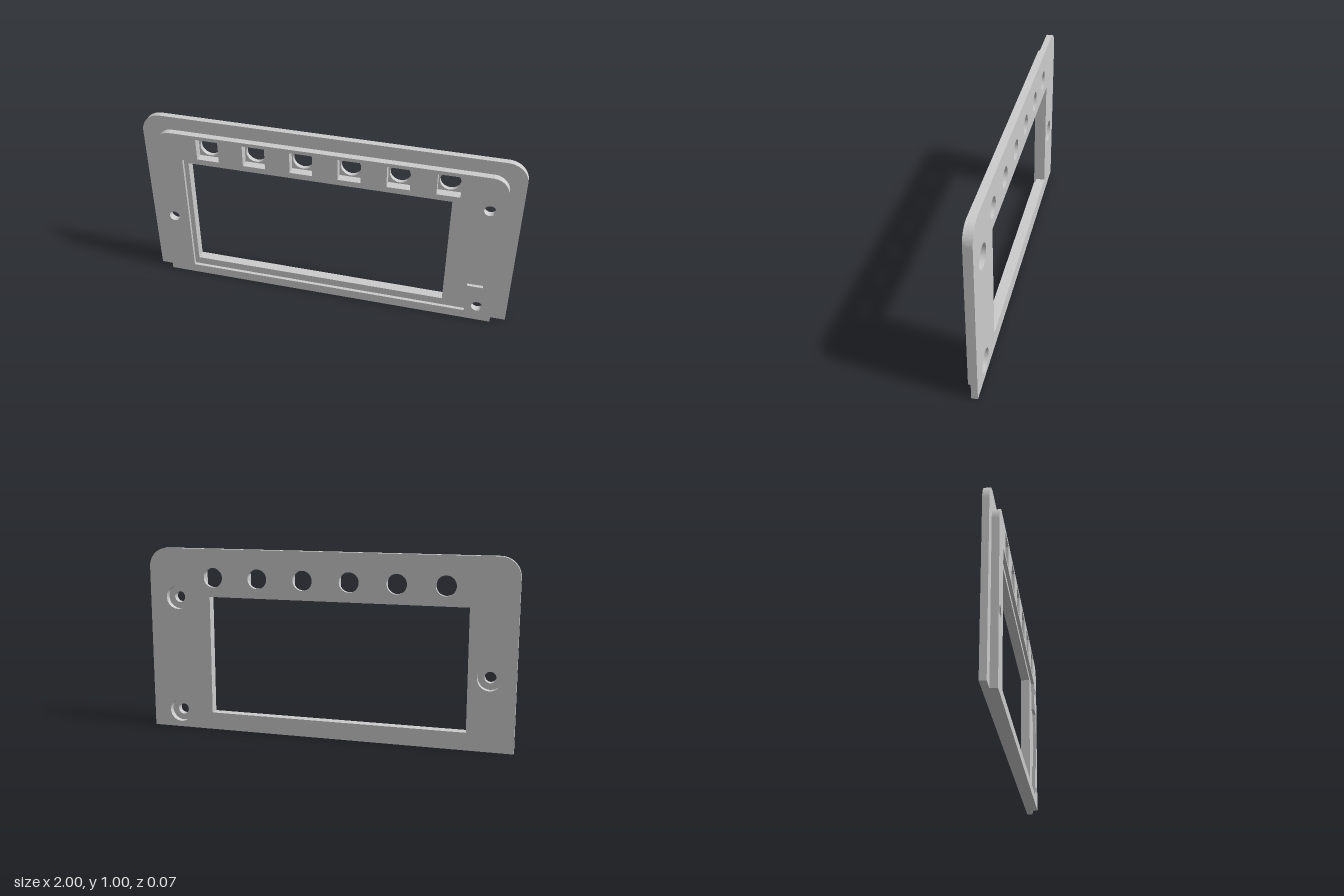
import * as THREE from 'three';
import { toCreasedNormals } from 'three/addons/utils/BufferGeometryUtils.js';

const material = new THREE.MeshStandardMaterial({ color: 0xcccccc });

// Depths of the stepped surfaces, back to front
const BACK = -0.033, POCKET = -0.01, STEP = 0, RECESS = 0.018, FRONT = 0.036;

const polygon = (pts) => new THREE.Shape(pts.map(([x, y]) => new THREE.Vector2(x, y)));
const rect = (x0, y0, x1, y1) => polygon([[x0, y0], [x1, y0], [x1, y1], [x0, y1]]);
const circle = (x, y, r) => new THREE.Shape().absarc(x, y, r, 0, Math.PI * 2, false);

// Panel outline: square at the bottom, rounded at the top corners
function outline(w, h, r) {
  const s = new THREE.Shape();
  s.moveTo(-w, 0);
  s.lineTo(w, 0);
  s.lineTo(w, h - r);
  s.absarc(w - r, h - r, r, 0, Math.PI / 2, false);
  s.lineTo(-w + r, h);
  s.absarc(-w + r, h - r, r, Math.PI / 2, Math.PI, false);
  return s;
}

function loopPoints(shape) {
  const pts = shape.getPoints(20).filter((p, i, all) => i === 0 || p.distanceTo(all[i - 1]) > 1e-5);
  if (pts[0].distanceTo(pts[pts.length - 1]) < 1e-5) pts.pop();
  return THREE.ShapeUtils.isClockWise(pts) ? pts.reverse() : pts;
}

// Flat surface at depth z, facing the front or the back
function face(group, name, shape, holes, z, toBack = false) {
  const s = new THREE.Shape(loopPoints(shape));
  s.holes = holes.map((h) => new THREE.Path(loopPoints(h)));
  const geo = new THREE.ShapeGeometry(s);
  if (toBack) {
    const idx = geo.index.array;
    for (let i = 0; i < idx.length; i += 3) [idx[i], idx[i + 1]] = [idx[i + 1], idx[i]];
    geo.computeVertexNormals();
  }
  geo.translate(0, 0, z);
  const mesh = new THREE.Mesh(geo, material);
  mesh.name = name;
  group.add(mesh);
}

// Side wall following a loop; openings face inward
function wall(group, name, shape, z0, z1, opening = true) {
  const pts = loopPoints(shape);
  if (opening) pts.reverse();
  const pos = [];
  pts.forEach((a, i) => {
    const b = pts[(i + 1) % pts.length];
    pos.push(a.x, a.y, z0, b.x, b.y, z0, b.x, b.y, z1);
    pos.push(a.x, a.y, z0, b.x, b.y, z1, a.x, a.y, z1);
  });
  const geo = new THREE.BufferGeometry();
  geo.setAttribute('position', new THREE.Float32BufferAttribute(pos, 3));
  const mesh = new THREE.Mesh(toCreasedNormals(geo, 0.6), material);
  mesh.name = name;
  group.add(mesh);
}

function addPart(parent, name) {
  const g = new THREE.Group();
  g.name = name;
  parent.add(g);
  return g;
}

export function createModel() {
  const model = new THREE.Group();
  model.name = 'facePlate';

  const outer = outline(1, 1.005, 0.105);
  const inner = outline(0.92, 0.93, 0.085);
  const window_ = rect(-0.755, 0.095, 0.65, 0.745);
  // Display seat with a connector notch on one side
  const seat = polygon([[-0.78, 0.052], [0.775, 0.052], [0.775, 0.23], [0.86, 0.23],
    [0.86, 0.6], [0.775, 0.6], [0.775, 0.773], [-0.78, 0.773]]);

  const buttons = [0, 1, 2, 3, 4, 5].map((i) => {
    const x = -0.634 + i * 0.2525, y = 0.85;
    return { hole: circle(x, y, 0.053), pocket: rect(x - 0.06, y - 0.06, x + 0.06, y + 0.06) };
  });
  const screws = [[0.841, 0.735], [0.841, 0.095], [-0.866, 0.386]].map(([x, y]) => (
    { hole: circle(x, y, 0.03), bore: circle(x, y, 0.064) }));

  // Wide back flange
  const flange = addPart(model, 'backFlange');
  face(flange, 'backFace', outer,
    [window_, ...buttons.map((b) => b.hole), ...screws.map((s) => s.bore)], BACK, true);
  wall(flange, 'flangeEdge', outer, BACK, STEP, false);
  // Exposed step: outer outline with the inner one cut out, open at the bottom
  const ledge = new THREE.Shape([...rotateLoop(outer), ...rotateLoop(inner).reverse()]);
  face(flange, 'flangeStep', ledge, [], STEP);

  // Narrower raised front
  const raised = addPart(model, 'raisedFront');
  face(raised, 'frontFace', inner,
    [seat, ...buttons.map((b) => b.pocket), ...screws.map((s) => s.hole)], FRONT);
  wall(raised, 'raisedEdge', inner, STEP, FRONT, false);

  // Display opening and its seat
  const display = addPart(model, 'displayOpening');
  face(display, 'displaySeat', seat, [window_], RECESS);
  wall(display, 'seatWall', seat, RECESS, FRONT);
  wall(display, 'windowWall', window_, BACK, RECESS);

  // Square button pockets with round openings
  for (const { hole, pocket } of buttons) {
    const g = addPart(model, 'buttonPocket');
    face(g, 'pocketFloor', pocket, [hole], POCKET);
    wall(g, 'pocketWall', pocket, POCKET, FRONT);
    wall(g, 'buttonHole', hole, BACK, POCKET);
  }

  // Screw holes counterbored from the back
  for (const { hole, bore } of screws) {
    const g = addPart(model, 'screwHole');
    face(g, 'boreFloor', bore, [hole], STEP, true);
    wall(g, 'boreWall', bore, BACK, STEP);
    wall(g, 'screwWall', hole, STEP, FRONT);
  }
  return model;
}

// Outline points from the bottom right corner round to the bottom left one
function rotateLoop(shape) {
  const pts = loopPoints(shape);
  return [...pts.slice(1), pts[0]];
}
